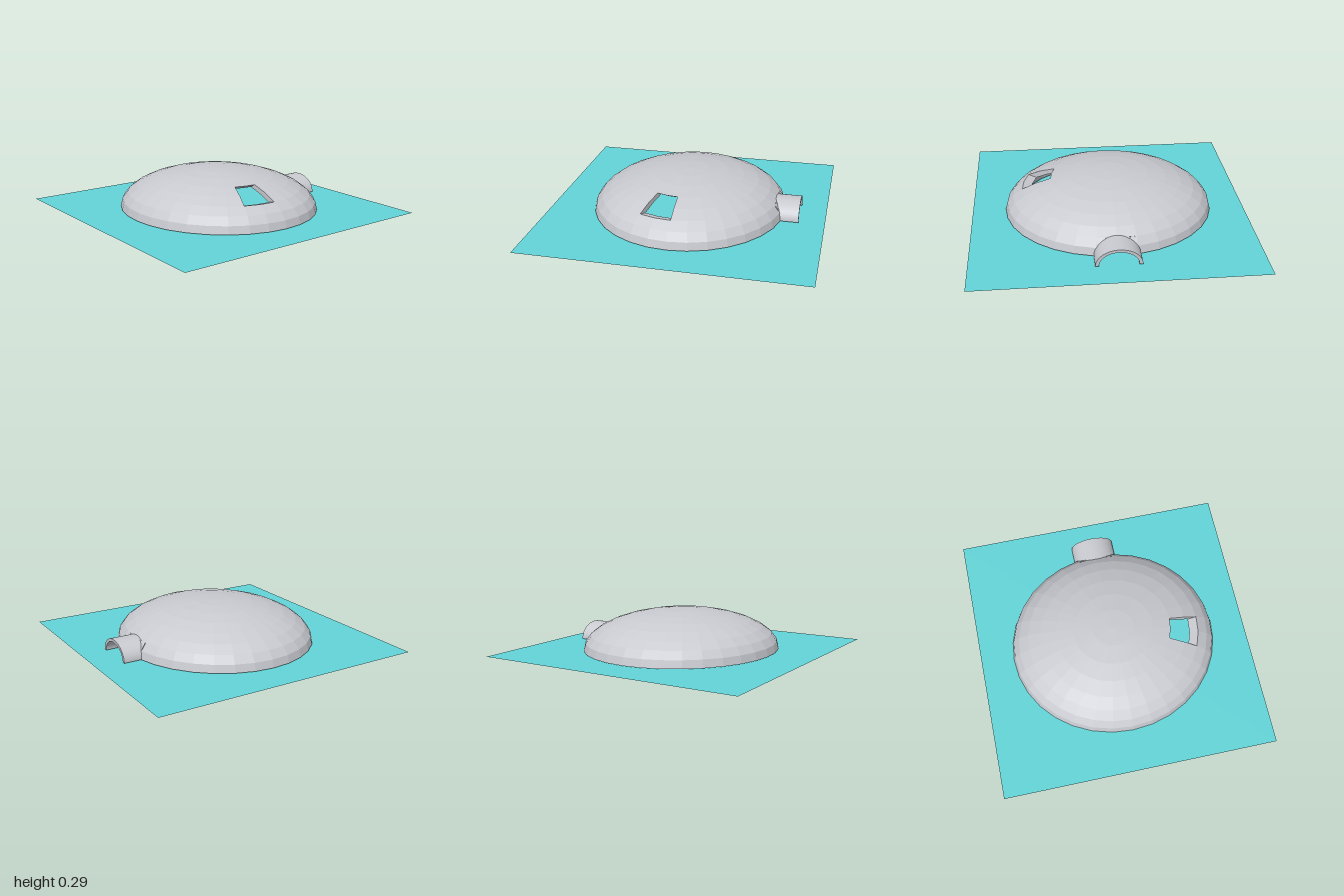
import * as THREE from 'three';

const RX = 0.705, RY = 0.285, RZ = 0.758, BASE = 0.01;
const SEG = 32, ROWS = 8, INNER = 0.9;

// Point on the dome: i counts segments round from +x, j rows up, k scales to the inner skin
function domePoint(i, j, k = 1) {
  const lon = (i / SEG) * Math.PI * 2, lat = (j / ROWS) * Math.PI / 2;
  return [
    RX * k * Math.cos(lat) * Math.cos(lon),
    BASE + RY * k * Math.sin(lat),
    RZ * k * Math.cos(lat) * Math.sin(lon),
  ];
}

const isWindow = (i, j) => (i === 8 || i === 9) && (j === 3 || j === 4);
const isDoorway = (i, j) => (i === 0 || i === SEG - 1) && j < 2;

// Flat-sided mesh from a list of triangles
function facetMesh(name, points, material) {
  const g = new THREE.BufferGeometry();
  g.setAttribute('position', new THREE.Float32BufferAttribute(points.flat(), 3));
  g.computeVertexNormals();
  const mesh = new THREE.Mesh(g, material);
  mesh.name = name;
  return mesh;
}

function quad(out, a, b, c, d) {
  out.push(a, b, d, b, c, d);
}

// One skin of the dome with its openings left out
function skin(k, inward) {
  const out = [];
  for (let i = 0; i < SEG; i++) {
    for (let j = 0; j < ROWS; j++) {
      if (isWindow(i, j) || isDoorway(i, j)) continue;
      const a = domePoint(i, j, k), b = domePoint(i, j + 1, k);
      const c = domePoint(i + 1, j + 1, k), d = domePoint(i + 1, j, k);
      if (j === ROWS - 1) out.push(...(inward ? [a, d, b] : [a, b, d]));
      else if (inward) quad(out, a, d, c, b);
      else quad(out, a, b, c, d);
    }
  }
  return out;
}

export function createModel() {
  const shell = new THREE.MeshStandardMaterial({ color: 0xc8cad0, side: THREE.DoubleSide });
  shell.name = 'paleGrey';
  const ground = new THREE.MeshStandardMaterial({ color: 0x62d4d8, side: THREE.DoubleSide });
  ground.name = 'turquoise';

  const model = new THREE.Group();
  model.name = 'domeShelter';

  // Base sheet
  const floor = new THREE.Mesh(new THREE.PlaneGeometry(2, 2).rotateX(-Math.PI / 2), ground);
  floor.name = 'baseSheet';
  model.add(floor);

  // Dome: outer and inner skins
  const dome = new THREE.Group();
  dome.name = 'dome';
  model.add(dome);
  dome.add(facetMesh('outerSkin', skin(1, false), shell));
  dome.add(facetMesh('innerSkin', skin(INNER, true), shell));

  // Bottom rim joining the skins, open at the doorway
  const rim = [];
  for (let i = 1; i < SEG - 1; i++) {
    quad(rim, domePoint(i, 0), domePoint(i + 1, 0), domePoint(i + 1, 0, INNER), domePoint(i, 0, INNER));
  }
  dome.add(facetMesh('bottomRim', rim, shell));

  // Window reveal through the shell thickness
  const loop = [[8, 3], [9, 3], [10, 3], [10, 4], [10, 5], [9, 5], [8, 5], [8, 4]];
  const reveal = [];
  loop.forEach(([i, j], n) => {
    const [p, q] = loop[(n + 1) % loop.length];
    quad(reveal, domePoint(i, j), domePoint(p, q), domePoint(p, q, INNER), domePoint(i, j, INNER));
  });
  dome.add(facetMesh('windowReveal', reveal, shell));

  // Skin around the arched doorway, from the square gap in to the arch
  const edge = [[1, 0], [1, 0.5], [1, 1], [1, 1.5], [1, 2], [0.5, 2], [0, 2],
    [-0.5, 2], [-1, 2], [-1, 1.5], [-1, 1], [-1, 0.5], [-1, 0]];
  const arch = edge.map(([u, v]) => {
    const s = 1 / Math.hypot(u / 0.912, v / 1.826);
    return [u * s, v * s];
  });
  const surround = [];
  for (let n = 0; n < edge.length - 1; n++) {
    quad(surround, domePoint(...edge[n]), domePoint(...arch[n]),
      domePoint(...arch[n + 1]), domePoint(...edge[n + 1]));
  }
  dome.add(facetMesh('doorwaySurround', surround.reverse(), shell));

  // Arched entrance tunnel on the left side
  const ring = new THREE.Shape();
  ring.absellipse(0, 0, 0.16, 0.12, 0, Math.PI, false);
  ring.lineTo(-0.135, 0);
  ring.absellipse(0, 0, 0.135, 0.1, Math.PI, 0, true);
  ring.closePath();
  const tunnelShape = new THREE.ExtrudeGeometry(ring, { depth: 0.215, bevelEnabled: false, curveSegments: 16 });
  tunnelShape.rotateY(Math.PI / 2);
  const tunnel = new THREE.Mesh(tunnelShape, shell);
  tunnel.name = 'entranceTunnel';
  tunnel.position.set(0.6, BASE, 0);
  model.add(tunnel);

  return model;
}
